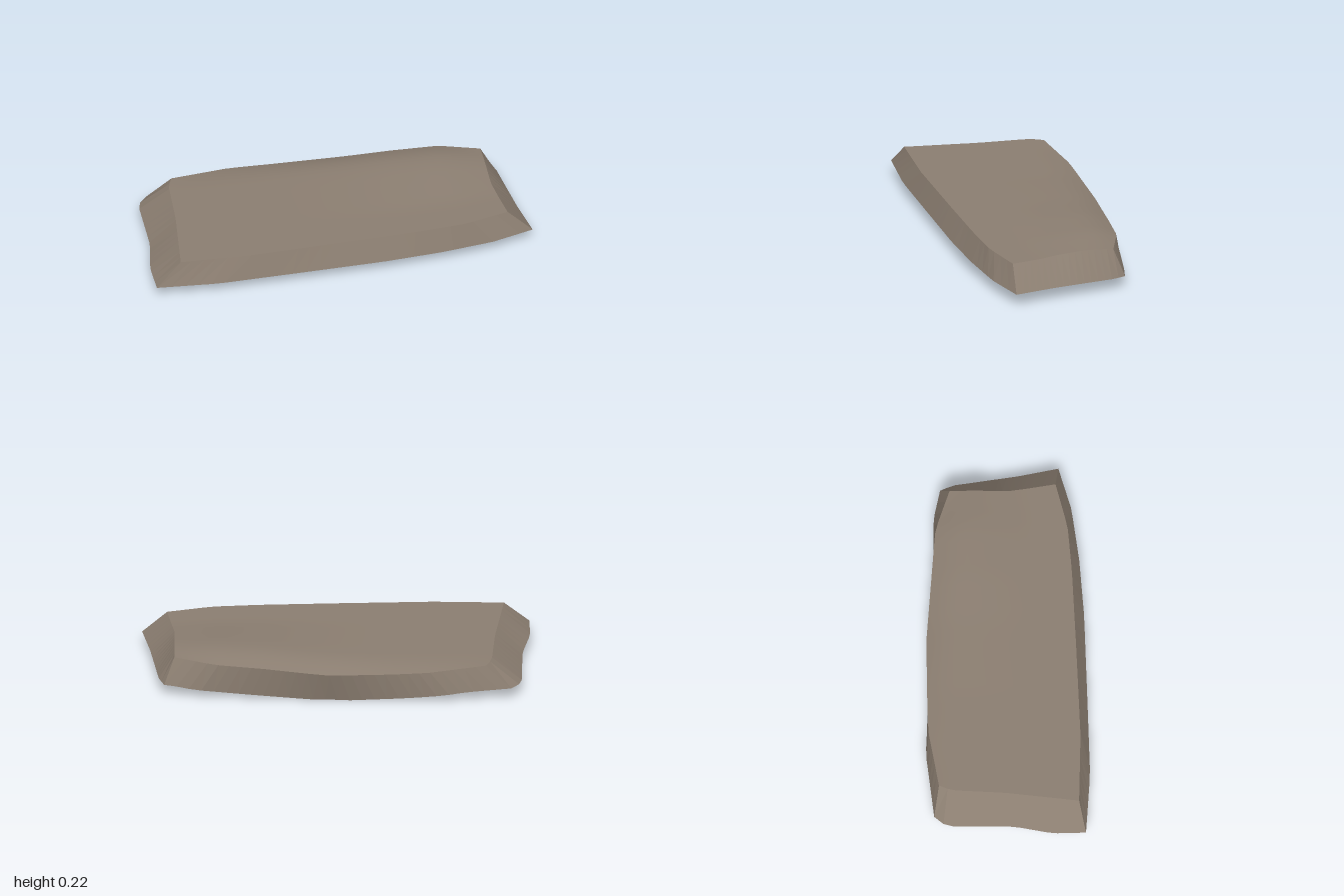
import * as THREE from 'three';

const NU = 28, NV = 16;

// Piecewise linear lookup through [input, output] knots
function curve(knots) {
  return (t) => {
    if (t <= knots[0][0]) return knots[0][1];
    for (let i = 1; i < knots.length; i++) {
      const [a, p] = knots[i - 1], [b, q] = knots[i];
      if (t <= b) return p + (q - p) * (t - a) / (b - a);
    }
    return knots[knots.length - 1][1];
  };
}

// Outlines: front/back give z along x, left/right give x along z
const topEdge = {
  front: curve([[-0.86, 0.38], [-0.5, 0.375], [0, 0.335], [0.4, 0.3], [0.64, 0.27], [0.87, 0.2]]),
  back: curve([[-0.8, -0.345], [-0.5, -0.41], [-0.35, -0.42], [0, -0.437], [0.5, -0.415], [0.6, -0.41], [0.81, -0.345]]),
  left: curve([[-0.345, -0.8], [-0.28, -0.825], [0, -0.83], [0.38, -0.86]]),
  right: curve([[-0.345, 0.81], [-0.05, 0.82], [0.2, 0.87]]),
  xs: [-0.86, 0.87, -0.8, 0.81], zs: [-0.345, 0.38, -0.345, 0.2],
};
const baseEdge = {
  front: curve([[-0.99, 0.42], [-0.67, 0.43], [-0.3, 0.405], [0.2, 0.37], [0.5, 0.335], [0.78, 0.285], [1, 0.21]]),
  back: curve([[-0.93, -0.365], [-0.58, -0.42], [-0.35, -0.417], [0, -0.4], [0.4, -0.412], [0.7, -0.425], [0.86, -0.395]]),
  left: curve([[-0.365, -0.93], [-0.3, -0.98], [0.05, -0.97], [0.25, -1], [0.42, -0.99]]),
  right: curve([[-0.395, 0.86], [-0.33, 0.89], [0, 0.95], [0.21, 1]]),
  xs: [-0.99, 1, -0.93, 0.86], zs: [-0.365, 0.42, -0.395, 0.21],
};

// Heights: a swell and a dipping back rim on top, a keel below
const swell = curve([[-0.3, 0], [0.1, 0.012], [0.35, 0.029], [0.6, 0.035], [0.81, 0.018]]);
const swellAcross = curve([[0, 0.6], [0.16, 1], [0.3, 1], [0.45, 0.68], [0.6, 0.33], [0.72, 0.05], [1, 0]]);
const dip = curve([[-0.8, 0.003], [-0.5, 0.02], [0, 0.038], [0.4, 0.024], [0.6, 0.017], [0.81, 0]]);
const dipAcross = curve([[0, 1], [0.07, 0.4], [0.17, 0]]);
const keel = curve([[-0.95, 0], [-0.7, 0.01], [-0.45, 0.037], [-0.1, 0.067], [0.1, 0.067], [0.4, 0.043], [0.8, 0.005], [0.95, 0]]);
const keelAcross = curve([[-0.4, 1], [-0.3, 0.82], [-0.2, 0.59], [-0.1, 0.36], [0, 0.16], [0.1, 0.05], [0.2, 0]]);
const topHeight = (x, z, v) => 0.188 + swell(x) * swellAcross(v) - dip(x) * dipAcross(v);
const baseHeight = (x, z) => 0.067 - keel(x) * keelAcross(z);

// Point on a sheet stretched between its four outlines; u runs left to right, v back to front
function sheetPoint(edge, height, i, j) {
  const lerp = THREE.MathUtils.lerp;
  const u = i / NU, v = j / NV;
  const [fl, fr, bl, br] = edge.xs, [lb, lf, rb, rf] = edge.zs;
  const x = lerp(edge.left(lerp(lb, lf, v)), edge.right(lerp(rb, rf, v)), u);
  const z = lerp(edge.back(lerp(bl, br, u)), edge.front(lerp(fl, fr, u)), v);
  return new THREE.Vector3(x, height(x, z, v), z);
}

function sheet(edge, height, facesUp) {
  const points = [], index = [];
  for (let j = 0; j <= NV; j++) {
    for (let i = 0; i <= NU; i++) points.push(sheetPoint(edge, height, i, j));
  }
  for (let j = 0; j < NV; j++) {
    for (let i = 0; i < NU; i++) {
      const a = j * (NU + 1) + i, b = a + NU + 1;
      if (facesUp) index.push(a, b, b + 1, a, b + 1, a + 1);
      else index.push(a, b + 1, b, a, a + 1, b + 1);
    }
  }
  const geometry = new THREE.BufferGeometry().setFromPoints(points);
  geometry.setIndex(index);
  geometry.computeVertexNormals();
  return geometry;
}

// Sloping wall between matching border points of the base and top sheets
function wall(border) {
  const points = [];
  const low = border.map(([i, j]) => sheetPoint(baseEdge, baseHeight, i, j));
  const high = border.map(([i, j]) => sheetPoint(topEdge, topHeight, i, j));
  for (let k = 0; k + 1 < border.length; k++) {
    points.push(low[k], low[k + 1], high[k + 1], low[k], high[k + 1], high[k]);
  }
  const geometry = new THREE.BufferGeometry().setFromPoints(points);
  geometry.computeVertexNormals();
  return geometry;
}

export function createModel() {
  const model = new THREE.Group();
  model.name = 'stoneSlab';
  const smooth = new THREE.MeshStandardMaterial({ color: 0x8a7d70 });
  const faceted = new THREE.MeshStandardMaterial({ color: 0x8a7d70, flatShading: true });
  const add = (name, geometry, material) => {
    const mesh = new THREE.Mesh(geometry, material);
    mesh.name = name;
    model.add(mesh);
  };

  add('topSurface', sheet(topEdge, topHeight, true), smooth);
  add('underside', sheet(baseEdge, baseHeight, false), smooth);

  // Four side walls, counter-clockwise seen from above
  const across = Array.from({ length: NU + 1 }, (_, i) => i);
  const along = Array.from({ length: NV + 1 }, (_, j) => j);
  add('frontSide', wall(across.map((i) => [i, NV])), faceted);
  add('leftSide', wall(along.map((j) => [NU, NV - j])), faceted);
  add('backSide', wall(across.map((i) => [NU - i, 0])), faceted);
  add('rightSide', wall(along.map((j) => [0, j])), faceted);
  return model;
}
